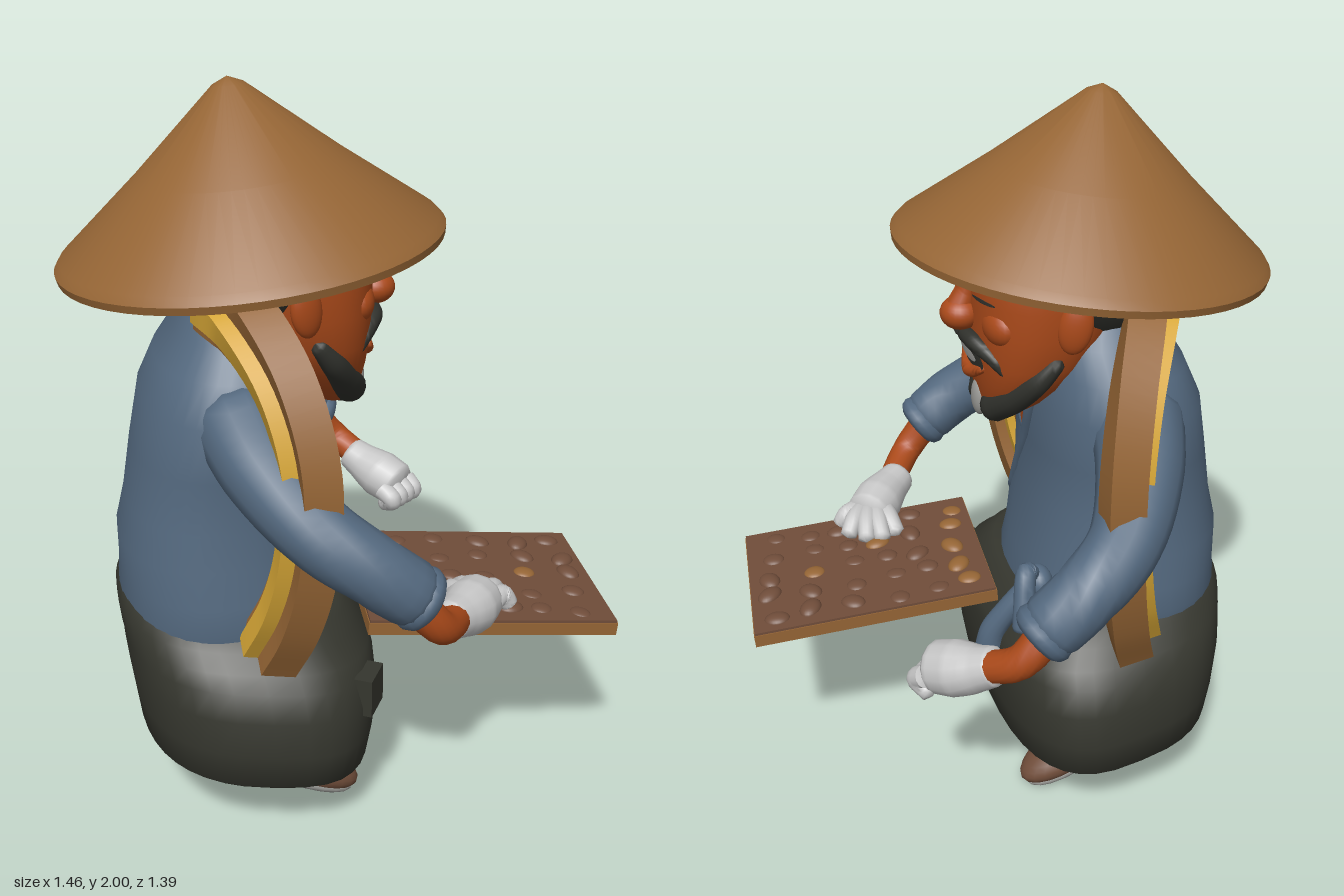
import * as THREE from 'three';
import { toCreasedNormals } from 'three/addons/utils/BufferGeometryUtils.js';

const V = (x, y, z) => new THREE.Vector3(x, y, z);
const mat = (name, color) => Object.assign(new THREE.MeshStandardMaterial({ color }), { name });

// Closed skin over a list of rings with equal point counts; always wound outward.
function skinRings(rings, crease = 0.9) {
  const n = rings[0].length, pts = rings.flat(), idx = [];
  for (let i = 0; i < rings.length - 1; i++) for (let j = 0; j < n; j++) {
    const a = i * n + j, b = i * n + (j + 1) % n;
    idx.push(a, b, a + n, b, b + n, a + n);
  }
  [0, rings.length - 1].forEach((r, k) => {
    const c = V(0, 0, 0);
    rings[r].forEach(p => c.addScaledVector(p, 1 / n));
    pts.push(c);
    for (let j = 0; j < n; j++) {
      const a = r * n + j, b = r * n + (j + 1) % n;
      idx.push(pts.length - 1, k ? a : b, k ? b : a);
    }
  });
  let vol = 0;
  for (let i = 0; i < idx.length; i += 3)
    vol += pts[idx[i]].dot(V(0, 0, 0).crossVectors(pts[idx[i + 1]], pts[idx[i + 2]]));
  if (vol < 0) idx.reverse();
  const g = new THREE.BufferGeometry().setFromPoints(pts);
  g.setIndex(idx);
  return toCreasedNormals(g, crease);
}

// Upright body from slices [y, centreX, radiusX, radiusZ]; taper narrows the back.
function slices(list, power, taper = 0) {
  const sp = (v) => Math.sign(v) * Math.abs(v) ** (2 / power);
  return skinRings(list.map(([y, cx, rx, rz]) => Array.from({ length: 40 }, (_, j) => {
    const a = j / 40 * Math.PI * 2, c = sp(Math.cos(a));
    return V(cx + rx * c, y, rz * sp(Math.sin(a)) * (1 - taper * (1 - c) / 2));
  })));
}

// Front surface x of a sliced body at (y, z).
const frontOf = (list, power) => (y, z) => {
  let i = 0;
  while (i < list.length - 2 && list[i + 1][0] < y) i++;
  const t = (y - list[i][0]) / (list[i + 1][0] - list[i][0]);
  const [, cx, rx, rz] = list[i].map((v, k) => v + (list[i + 1][k] - v) * t);
  return cx + rx * Math.max(0, 1 - Math.abs(z / rz) ** power) ** (1 / power);
};

// Sweep of a cross-section along a smooth path.
function sweep(points, section, steps = 24, crease = 0.9) {
  const curve = new THREE.CatmullRomCurve3(points.map(p => V(...p)));
  return skinRings(Array.from({ length: steps + 1 }, (_, i) => {
    const u = i / steps, p = curve.getPoint(u), t = curve.getTangent(u);
    const n = V(0, 0, 0).crossVectors(t, V(1, 0, 0)).normalize();
    const b = V(0, 0, 0).crossVectors(t, n);
    return section(u).map(([x, y]) => p.clone().addScaledVector(n, x).addScaledVector(b, y));
  }), crease);
}
// Round limb with varying radius and rounded ends.
function limb(points, radii, steps = 24) {
  return sweep(points, u => {
    const f = u * (radii.length - 1), i = Math.min(Math.floor(f), radii.length - 2);
    const e = Math.max(0, Math.abs(2 * u - 1) - 0.85) / 0.15;
    const r = (radii[i] + (radii[i + 1] - radii[i]) * (f - i)) * Math.max(0.12, Math.sqrt(Math.max(0, 1 - e * e)));
    return Array.from({ length: 14 }, (_, j) => [r * Math.cos(j / 7 * Math.PI), r * Math.sin(j / 7 * Math.PI)]);
  }, steps, 1.2);
}

export function createModel() {
  const root = new THREE.Group();
  root.name = 'seatedFarmer';
  const straw = mat('straw', 0x956535), skin = mat('skin', 0xab4a1a), hair = mat('hair', 0x30312c),
    cloth = mat('blueCloth', 0x54697f), pants = mat('darkCloth', 0x35362e), glove = mat('glove', 0xc8c8c8),
    yellow = mat('yellowRope', 0xd6a636), clay = mat('clay', 0x704d3a), grey = mat('grey', 0x9b9b97);
  const add = (name, geo, m, parent = root) => {
    const mesh = new THREE.Mesh(geo, m);
    mesh.name = name;
    parent.add(mesh);
    return mesh;
  };
  const ball = (name, m, p, s, rz = 0, ry = 0, parent = root) => {
    const o = add(name, new THREE.SphereGeometry(1, 24, 16), m, parent);
    o.position.set(...p); o.scale.set(...s); o.rotation.set(0, ry, rz);
  };
  // Thin patch laid on a front surface.
  const patch = (name, m, front, y0, y1, zMid, half, off = 0.006) => {
    const g = new THREE.PlaneGeometry(2, 1, 12, 12), p = g.attributes.position;
    for (let i = 0; i < p.count; i++) {
      const u = p.getY(i) + 0.5, y = y0 + (y1 - y0) * u, z = zMid - p.getX(i) * half(u);
      p.setXYZ(i, front(y, z) + off, y, z);
    }
    g.computeVertexNormals();
    add(name, g, m);
  };
  const oval = w => u => w * Math.sqrt(Math.max(0, 1 - (2 * u - 1) ** 2));

  // Conical hat, hollow underneath
  const hat = add('hat', toCreasedNormals(new THREE.LatheGeometry([
    [0, 0.37], [0.46, 0.008], [0.485, -0.012], [0.5, -0.008], [0.504, 0.012], [0.488, 0.033],
    [0.27, 0.21], [0.04, 0.41], [0, 0.428]].map(p => new THREE.Vector2(...p)), 56), 0.6), straw);
  hat.position.set(-0.225, 1.58, 0.02);
  hat.rotation.z = 0.115;

  // Jacket body, chest opening and lapels
  const torso = [[0.55, -0.32, 0.29, 0.35], [0.63, -0.325, 0.295, 0.365], [0.7, -0.33, 0.285, 0.355],
    [0.8, -0.335, 0.28, 0.345], [0.9, -0.33, 0.26, 0.33], [1.05, -0.32, 0.245, 0.33], [1.2, -0.3, 0.235, 0.345],
    [1.3, -0.285, 0.205, 0.3], [1.38, -0.265, 0.175, 0.24], [1.45, -0.27, 0.15, 0.19], [1.52, -0.28, 0.12, 0.15]];
  const chest = frontOf(torso, 2.3);
  add('jacket', slices(torso, 2.3), cloth);
  patch('bareChest', skin, chest, 1.06, 1.38, 0.01, u => 0.005 + 0.12 * u);
  const lapel = yz => add('lapel', limb(yz.map(([y, z]) => [chest(y, z) - 0.006, y, z]), [0.018, 0.02, 0.014]), cloth);
  lapel([[1.36, 0.15], [1.25, 0.1], [1.15, 0.055], [1.05, 0.015]]);
  lapel([[1.36, -0.15], [1.2, -0.07], [1.05, 0.01], [0.92, 0.09], [0.78, 0.17]]);
  ball('sashKnot', cloth, [-0.05, 0.69, -0.2], [0.04, 0.05, 0.05]);
  add('sashTail', limb([[-0.04, 0.7, -0.2], [0.03, 0.6, -0.18], [0.07, 0.52, -0.16], [0.08, 0.44, -0.15]], [0.03, 0.035, 0.044]), cloth);
  add('sashTail', limb([[-0.04, 0.7, -0.2], [-0.01, 0.74, -0.22], [0.01, 0.66, -0.26], [0.02, 0.58, -0.28]], [0.025, 0.03, 0.03]), cloth);

  // Wide trousers over folded legs, sloping down to the knees
  const trousers = add('trousers', slices([[0.175, -0.25, 0.22, 0.4], [0.18, -0.265, 0.29, 0.49], [0.22, -0.27, 0.32, 0.545],
    [0.32, -0.275, 0.335, 0.56], [0.42, -0.285, 0.345, 0.55], [0.49, -0.295, 0.345, 0.52], [0.53, -0.305, 0.345, 0.48],
    [0.57, -0.325, 0.33, 0.43], [0.61, -0.335, 0.31, 0.39], [0.62, -0.335, 0.29, 0.365]], 2.8, 0.2), pants);
  trousers.rotation.z = -0.07;
  trousers.position.set(-0.015, -0.01, 0);
  const flap = add('trouserFlap', new THREE.BoxGeometry(0.05, 0.11, 0.1), pants);
  flap.position.set(0.005, 0.44, 0.4);
  flap.rotation.y = -0.55;

  // Head
  const head = [[1.14, 0, 0.045, 0.05], [1.2, -0.03, 0.095, 0.12], [1.26, -0.055, 0.13, 0.175], [1.33, -0.08, 0.165, 0.21],
    [1.42, -0.1, 0.19, 0.228], [1.5, -0.115, 0.205, 0.235], [1.58, -0.13, 0.22, 0.235], [1.7, -0.15, 0.2, 0.21], [1.82, -0.18, 0.1, 0.1]];
  const face = frontOf(head, 2.4);
  add('head', slices(head, 2.4), skin);
  add('neck', limb([[-0.26, 1.08, 0], [-0.2, 1.25, 0], [-0.14, 1.42, 0]], [0.14, 0.14, 0.14]), skin);
  add('hair', slices([[1.4, -0.22, 0.1, 0.17], [1.45, -0.225, 0.14, 0.222], [1.51, -0.21, 0.155, 0.243],
    [1.55, -0.175, 0.17, 0.256], [1.66, -0.17, 0.18, 0.24], [1.8, -0.2, 0.11, 0.14]], 3), hair);
  ball('nose', skin, [0.11, 1.44, 0], [0.055, 0.045, 0.055]);
  add('noseBridge', limb([[0.075, 1.57, 0], [0.095, 1.5, 0], [0.12, 1.44, 0]], [0.03, 0.03, 0.04]), skin);
  patch('mouth', hair, face, 1.285, 1.365, 0, oval(0.1));
  patch('teeth', grey, face, 1.315, 1.35, 0, oval(0.075), 0.012);
  add('lowerLip', limb([[face(1.31, 0.09), 1.31, 0.09], [0.085, 1.275, 0], [face(1.31, 0.09), 1.31, -0.09]], [0.01, 0.022, 0.01]), skin);
  ball('goateeTuft', grey, [0.06, 1.19, 0], [0.022, 0.055, 0.035]);
  ball('chinBeard', hair, [0.015, 1.185, 0], [0.052, 0.06, 0.08]);
  for (const s of [1, -1]) {
    ball('ear', skin, [-0.125, 1.465, s * 0.24], [0.045, 0.075, 0.025], 0.15, s * 0.4);
    ball('cheek', skin, [0.03, 1.44, s * 0.105], [0.05, 0.06, 0.08]);
    add('beard', limb([[-0.1, 1.37, s * 0.212], [-0.045, 1.3, s * 0.185], [0, 1.23, s * 0.12], [0.04, 1.165, s * 0.03]],
      [0.02, 0.034, 0.042, 0.046]), hair);
    add('moustache', limb([[0.105, 1.385, 0], [0.09, 1.38, s * 0.07], [0.05, 1.345, s * 0.13], [0.02, 1.3, s * 0.15]],
      [0.02, 0.024, 0.02, 0.012]), hair);
    patch('closedEye', hair, face, 1.502, 1.513, s * 0.105, oval(0.05));
    patch('eyebrow', hair, face, 1.56, 1.575, s * 0.115, oval(0.055));
  }

  // Curved carrying straps: yellow rope between an outer and an inner straw band
  const box = (cx, cy, hx, hy) => () => [[cx - hx, cy - hy], [cx + hx, cy - hy], [cx + hx, cy + hy], [cx - hx, cy + hy]];
  for (const s of [1, -1]) {
    const path = [[-0.33, 1.53, 0.2], [-0.28, 1.5, 0.31], [-0.2, 1.36, 0.45], [-0.155, 1.15, 0.53],
      [-0.165, 0.9, 0.525], [-0.2, 0.72, 0.485], [-0.25, 0.57, 0.42]].map(([x, y, z]) => [x, y, z * s]);
    add('strap', sweep(path, box(0, 0, 0.042, 0.048), 36, 0.6), straw);
    add('strapRope', sweep(path, box(s * -0.045, 0.036, 0.032, 0.052), 36, 0.6), yellow);
    add('strapInnerBand', sweep(path, box(s * -0.085, 0.045, 0.014, 0.035), 36, 0.6), straw);
  }

  // Left arm resting on the tray, right arm hanging forward
  const arm = (name, sleeve, fore, palm, fingers) => {
    const g = new THREE.Group();
    g.name = name;
    root.add(g);
    add('sleeve', limb(sleeve, [0.13, 0.115, 0.095, 0.088, 0.086]), cloth, g);
    const end = V(...sleeve.at(-1)), dir = end.clone().sub(V(...sleeve.at(-2))).normalize();
    const cuff = add('rolledCuff', new THREE.TorusGeometry(0.055, 0.032, 10, 24), cloth, g);
    cuff.position.copy(end).addScaledVector(dir, -0.025);
    cuff.quaternion.setFromUnitVectors(V(0, 0, 1), dir);
    add('forearm', limb(fore, [0.05, 0.045, 0.042]), skin, g);
    add('glovePalm', limb(palm, [0.05, 0.06, 0.076, 0.07]), glove, g);
    fingers.forEach(f => add('gloveFinger', limb(f, [0.032, 0.029, 0.024], 14), glove, g));
  };
  arm('leftArm', [[-0.31, 1.22, 0.2], [-0.26, 1.11, 0.38], [-0.16, 1, 0.53], [-0.03, 0.91, 0.595], [0.1, 0.81, 0.6]],
    [[0.06, 0.83, 0.6], [0.14, 0.73, 0.59], [0.22, 0.68, 0.48]],
    [[0.18, 0.69, 0.51], [0.25, 0.67, 0.44], [0.33, 0.65, 0.34]],
    [[0.25, 0.25], [0.3, 0.23], [0.35, 0.24], [0.4, 0.28], [0.41, 0.36]].map(([x, z], i) =>
      [[0.27 + i * 0.02, 0.66, 0.38], [(x + 0.28 + i * 0.02) / 2, 0.66, (z + 0.36) / 2], [x, 0.625, z]]));
  arm('rightArm', [[-0.31, 1.22, -0.2], [-0.26, 1.11, -0.38], [-0.16, 1, -0.54], [-0.04, 0.92, -0.605], [0.09, 0.81, -0.61]],
    [[0.05, 0.84, -0.61], [0.13, 0.75, -0.61], [0.21, 0.69, -0.53]],
    [[0.17, 0.71, -0.56], [0.23, 0.67, -0.5], [0.31, 0.63, -0.41]],
    [0, 1, 2, 3].map(i => [[0.24 + i * 0.032, 0.64, -0.4 - i * 0.02], [0.27 + i * 0.028, 0.61, -0.36 - i * 0.022],
      [0.25 + i * 0.025, 0.58, -0.41 - i * 0.02]]));

  // Tray with lumpy goods
  const tray = new THREE.Group();
  tray.name = 'tray';
  tray.position.set(0.37, 0.59, 0.155);
  tray.rotation.set(0, -0.08, -0.085);
  root.add(tray);
  add('trayBoard', new THREE.BoxGeometry(0.69, 0.036, 0.525), straw, tray);
  add('trayTop', new THREE.BoxGeometry(0.685, 0.008, 0.52), clay, tray).position.y = 0.021;
  for (let i = 0; i < 6; i++) for (let j = 0; j < 5; j++) {
    const k = i * 5 + j, w = Math.sin(k * 7.3);
    ball('trayLump', i < 1 || k % 9 === 4 ? straw : clay, [-0.28 + i * 0.11 + w * 0.02, 0.022, -0.2 + j * 0.1 + Math.cos(k * 4.1) * 0.015],
      [0.034 + w * 0.008, 0.015 + w * 0.005, 0.03], 0, k, tray);
  }

  // Feet in soft shoes, toes pointing down
  for (const s of [1, -1]) {
    add('shin', limb([[-0.3, 0.3, s * 0.2], [-0.23, 0.2, s * 0.21], [-0.14, 0.12, s * 0.22]], [0.07, 0.065, 0.06]), skin);
    ball('shoe', clay, [-0.16, 0.117, s * 0.235], [0.19, 0.058, 0.085], -0.45, -s * 0.12);
    ball('sole', grey, [-0.172, 0.095, s * 0.235], [0.185, 0.035, 0.08], -0.45, -s * 0.12);
  }
  return root;
}
